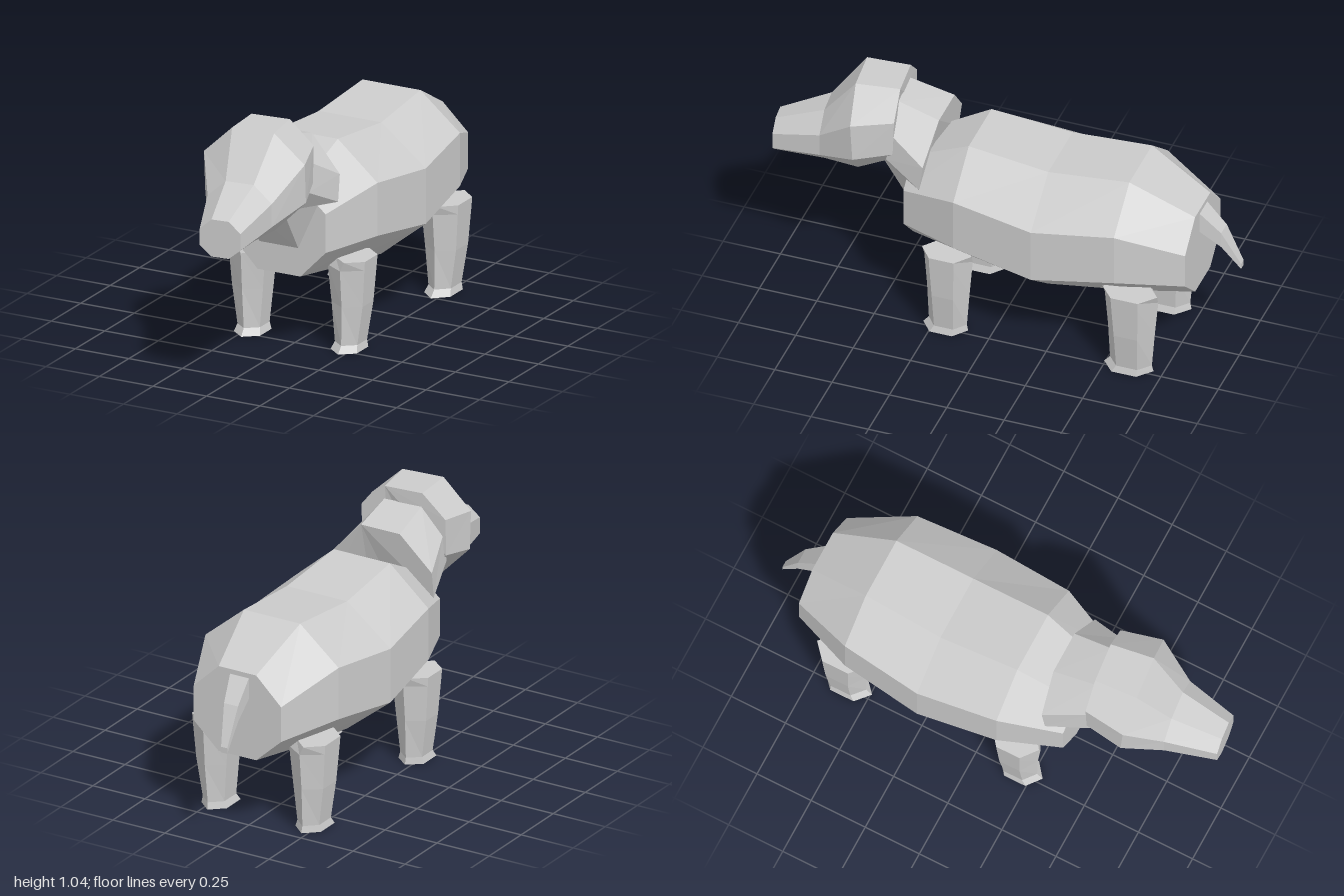
import * as THREE from 'three';

const hide = new THREE.MeshStandardMaterial({ color: 0xcccccc, flatShading: true });
hide.name = 'pale grey hide';

// Skin a list of equal-sized point rings and cap both ends
function loft(name, rings) {
  const pos = [], n = rings[0].length, last = rings.length - 1;
  const tri = (a, b, c) => pos.push(...a, ...b, ...c);
  for (let i = 0; i < last; i++) {
    for (let j = 0; j < n; j++) {
      const k = (j + 1) % n;
      const a = rings[i][j], b = rings[i][k], c = rings[i + 1][k], d = rings[i + 1][j];
      tri(a, d, c);
      tri(a, c, b);
    }
  }
  for (let j = 1; j < n - 1; j++) {
    tri(rings[0][0], rings[0][j], rings[0][j + 1]);
    tri(rings[last][0], rings[last][j + 1], rings[last][j]);
  }
  const g = new THREE.BufferGeometry();
  g.setAttribute('position', new THREE.Float32BufferAttribute(pos, 3));
  g.computeVertexNormals();
  const mesh = new THREE.Mesh(g, hide);
  mesh.name = name;
  return mesh;
}

// Symmetric ring from [halfWidth, y, z] levels, top to bottom, shifted and turned sideways
function ring(levels, cx = 0, yaw = 0) {
  const left = levels.map(([w, y, z]) => [cx + w, y, z - w * yaw]);
  const right = levels.map(([w, y, z]) => [cx - w, y, z + w * yaw]).reverse();
  return [...left, ...right];
}

// Upright ring: z, then half widths and heights of its four levels
const upright = (z, w, y, cx, yaw) => ring(w.map((h, i) => [h, y[i], z]), cx, yaw);

// Six-sided leg, rings from foot to top: [y, inner x, outer x, half depth, z shift]
function leg(name, side, z, depth) {
  const rings = [
    [0, 0.165, 0.287, 0.098, 0.014],
    [0.03, 0.175, 0.28, 0.083, 0.004],
    [0.2, 0.16, 0.305, 0.093, 0],
    [0.36, 0.146, 0.317, 0.106, 0],
    [0.4, 0.183, 0.32, 0.108, 0],
  ].map(([y, x0, x1, d, dz]) => {
    const c = (x0 + x1) / 2, h = (x1 - x0) / 2;
    const pts = [];
    for (let i = 0; i < 6; i++) {
      const a = Math.PI / 6 + i * Math.PI / 3;
      pts.push([side * (c + h * Math.cos(a) / Math.cos(Math.PI / 6)), y, z + dz + d * depth * Math.sin(a)]);
    }
    return side < 0 ? pts.reverse() : pts;
  });
  return loft(name, rings);
}

export function createModel() {
  const model = new THREE.Group();
  model.name = 'animal';

  // Barrel body
  model.add(loft('body', [
    upright(-0.84, [0.09, 0.21, 0.21, 0.09], [0.725, 0.61, 0.455, 0.345]),
    upright(-0.57, [0.135, 0.32, 0.32, 0.135], [0.865, 0.71, 0.48, 0.315]),
    upright(-0.22, [0.145, 0.353, 0.353, 0.145], [0.835, 0.67, 0.43, 0.265]),
    upright(0.13, [0.135, 0.32, 0.32, 0.135], [0.87, 0.71, 0.48, 0.315]),
    upright(0.385, [0.1, 0.218, 0.218, 0.1], [0.735, 0.635, 0.467, 0.345]),
  ]));

  // Neck rising into the back of the head
  model.add(loft('neck', [
    ring([[0.093, 0.935, 0.275], [0.235, 0.785, 0.295], [0.235, 0.67, 0.31], [0.09, 0.467, 0.385]]),
    ring([[0.085, 0.985, 0.46], [0.18, 0.87, 0.46], [0.18, 0.75, 0.49], [0.085, 0.665, 0.52]], 0.005, 0.1),
  ]));

  // Head and muzzle, turned slightly to its left
  const yaw = 0.1;
  model.add(loft('head', [
    ring([[0.085, 1.045, 0.455], [0.19, 0.945, 0.455], [0.19, 0.785, 0.46], [0.085, 0.67, 0.51]], 0, yaw),
    ring([[0.093, 1.045, 0.64], [0.223, 0.922, 0.63], [0.223, 0.755, 0.62], [0.093, 0.622, 0.63]], 0.02, yaw),
    upright(0.78, [0.062, 0.142, 0.142, 0.062], [0.862, 0.79, 0.69, 0.617], 0.034, yaw),
    upright(0.99, [0.038, 0.09, 0.09, 0.038], [0.768, 0.722, 0.65, 0.607], 0.058, yaw),
  ]));

  // Drooping tail, from tip to root
  const tailRing = (x0, x1, top, bottom, z) =>
    [[x1, top, z], [x1, bottom, z], [x0, bottom, z], [x0, top, z]];
  model.add(loft('tail', [
    tailRing(-0.05, -0.02, 0.45, 0.425, -1),
    tailRing(-0.055, 0.012, 0.61, 0.54, -0.925),
    tailRing(-0.055, 0.038, 0.715, 0.62, -0.83),
  ]));

  // Legs
  for (const [label, s] of [['left', 1], ['right', -1]]) {
    model.add(leg(label + ' front leg', s, 0.183, 1));
    model.add(leg(label + ' back leg', s, -0.615, 1.1));
  }
  return model;
}
